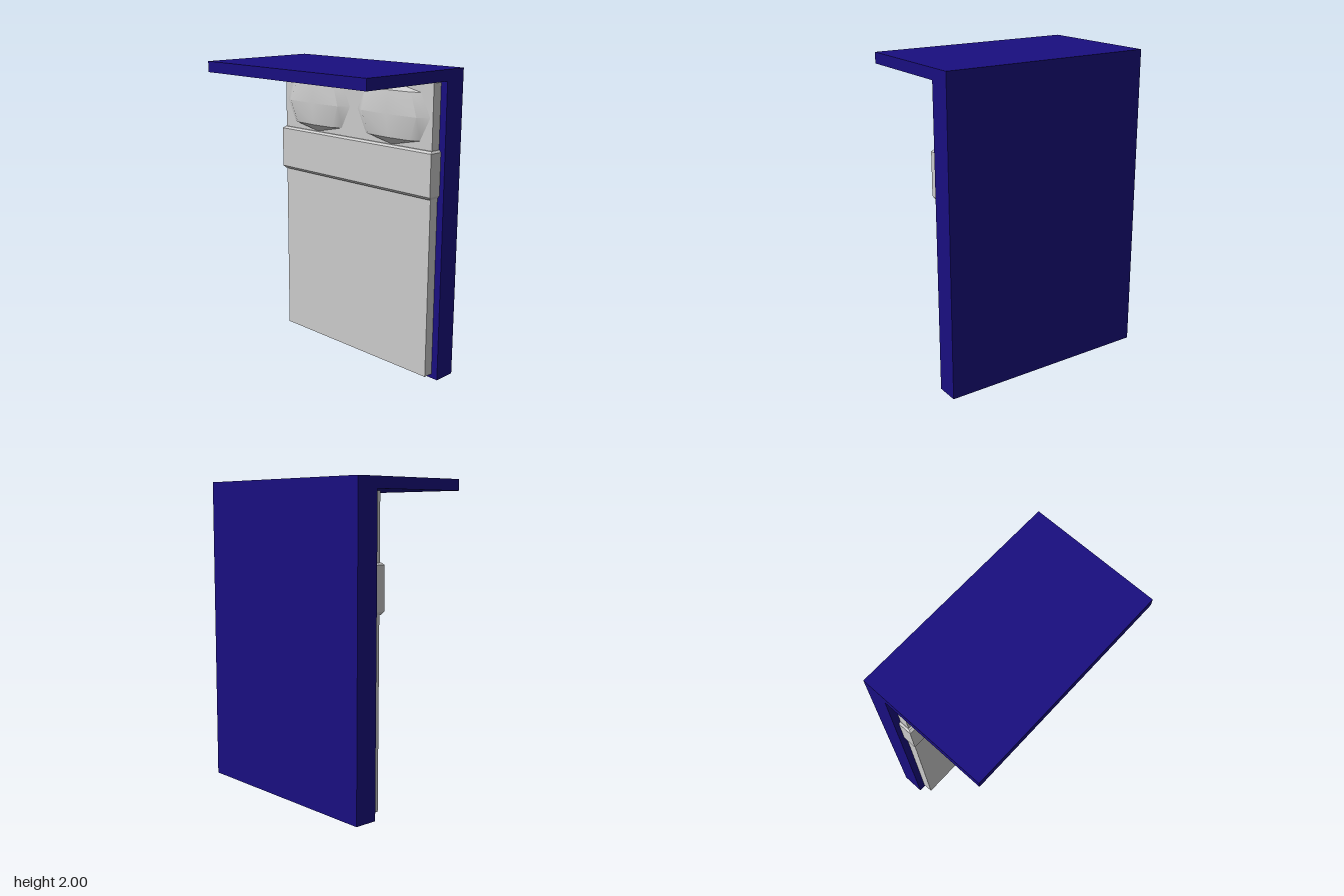
import * as THREE from 'three';
import { toCreasedNormals } from 'three/addons/utils/BufferGeometryUtils.js';

const navy = new THREE.MeshStandardMaterial({ color: 0x190e80 });
const grey = new THREE.MeshStandardMaterial({ color: 0xcccccc });

// Box given by its extents along each axis
function box(name, material, [x0, x1], [y0, y1], [z0, z1]) {
  const mesh = new THREE.Mesh(new THREE.BoxGeometry(x1 - x0, y1 - y0, z1 - z0), material);
  mesh.position.set((x0 + x1) / 2, (y0 + y1) / 2, (z0 + z1) / 2);
  mesh.name = name;
  return mesh;
}

// Folded blanket band whose top and bottom edges taper in towards the mattress
function createFold() {
  const rows = [1.212, 1.23, 1.5, 1.513];
  const geometry = new THREE.BoxGeometry(2, 3, 2, 1, 3, 1);
  const p = geometry.attributes.position;
  for (let i = 0; i < p.count; i++) {
    const row = Math.round(p.getY(i) + 1.5);
    const outer = row === 0 || row === 3;
    p.setXYZ(i,
      p.getX(i) * (outer ? 0.663 : 0.675),
      rows[row],
      p.getZ(i) > 0 ? (outer ? -0.195 : -0.18) : -0.272);
  }
  const mesh = new THREE.Mesh(toCreasedNormals(geometry, 0.3), grey);
  mesh.name = 'blanketFold';
  return mesh;
}

// Low-poly pillow: a coarse sphere squared off towards a cushion shape
function createPillow(side) {
  const geometry = new THREE.SphereGeometry(1, 8, 4);
  const p = geometry.attributes.position;
  const puff = (v) => (Math.abs(v) < 1e-6 ? 0 : Math.sign(v) * Math.abs(v) ** 0.82);
  for (let i = 0; i < p.count; i++) {
    p.setXYZ(i, puff(p.getX(i)) * 0.305, puff(p.getY(i)) * 0.196, puff(p.getZ(i)) * 0.06);
  }
  const mesh = new THREE.Mesh(toCreasedNormals(geometry, Math.PI / 6), grey);
  mesh.position.set(side * 0.337, 1.71, -0.207);
  mesh.name = side > 0 ? 'leftPillow' : 'rightPillow';
  return mesh;
}

export function createModel() {
  const bed = new THREE.Group();
  bed.name = 'bed';

  // Frame: base slab and headboard
  bed.add(box('bedBase', navy, [-0.707, 0.707], [0, 1.93], [-0.422, -0.272]));
  bed.add(box('headboard', navy, [-0.707, 0.707], [1.93, 2], [-0.422, 0.422]));

  // Bedding
  bed.add(box('mattress', grey, [-0.66, 0.66], [0.03, 1.92], [-0.272, -0.205]));
  bed.add(createFold());
  for (const side of [-1, 1]) bed.add(createPillow(side));

  return bed;
}
